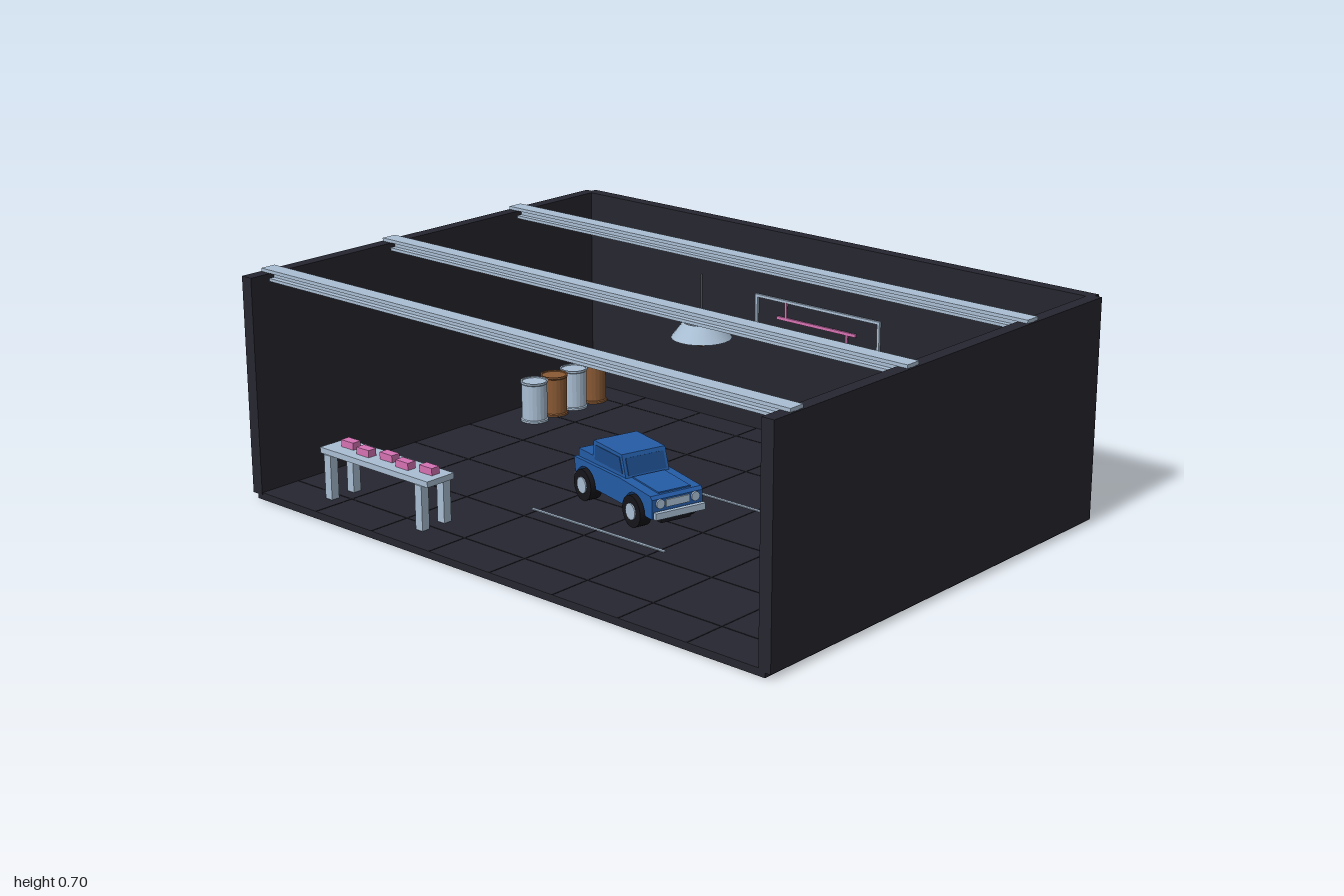
import * as THREE from 'three';

const mat = (name, color, side = THREE.FrontSide) => {
  const m = new THREE.MeshStandardMaterial({ color, side });
  m.name = name;
  return m;
};

export function createModel() {
  const charcoal = mat('charcoal', 0x262630);
  const seamDark = mat('seam dark', 0x1a1a22);
  const steel = mat('pale steel', 0xa9bed3, THREE.DoubleSide);
  const cord = mat('cord grey', 0x59636f);
  const blue = mat('car blue', 0x245ca6);
  const glass = mat('window blue', 0x1c4a88);
  const rubber = mat('rubber', 0x15151a);
  const brown = mat('brown', 0x8a5a34);
  const pink = mat('pink', 0xd673b4);

  const root = new THREE.Group();
  root.name = 'garage';
  const FLOOR = 0.022;

  const add = (parent, name, geo, material, x = 0, y = 0, z = 0) => {
    const m = new THREE.Mesh(geo, material);
    m.name = name;
    m.position.set(x, y, z);
    parent.add(m);
    return m;
  };
  const box = (parent, name, material, w, h, d, x, y, z) =>
    add(parent, name, new THREE.BoxGeometry(w, h, d), material, x, y, z);
  const group = (name, x = 0, y = 0, z = 0) => {
    const g = new THREE.Group();
    g.name = name;
    g.position.set(x, y, z);
    root.add(g);
    return g;
  };

  // Room shell: open at the front and the top
  box(root, 'floor', charcoal, 1.96, FLOOR, 1.46, 0, FLOOR / 2, 0.01);
  box(root, 'backWall', charcoal, 1.955, 0.67, 0.04, 0, 0.35, -0.722);
  for (const s of [-1, 1]) box(root, 'sideWall', charcoal, 0.04, 0.67, 1.465, s * 0.98, 0.35, 0.0095);

  // Floor tile seams
  for (let i = -3; i <= 3; i++) box(root, 'floorSeam', seamDark, 0.005, 0.001, 1.44, i * 0.24, FLOOR + 0.0005, 0.02);
  for (let i = -2; i <= 3; i++) box(root, 'floorSeam', seamDark, 1.92, 0.001, 0.005, 0, FLOOR + 0.0005, i * 0.24 - 0.12);

  // Roof I-beams
  for (const z of [0.648, 0.17, -0.38]) {
    const beam = group('roofBeam', 0, 0, z);
    box(beam, 'topFlange', steel, 1.99, 0.01, 0.05, 0, 0.691, 0);
    box(beam, 'web', steel, 1.99, 0.016, 0.014, 0, 0.678, 0);
    box(beam, 'bottomFlange', steel, 1.99, 0.009, 0.05, 0, 0.666, 0);
  }

  // Hanging lamp
  const lamp = group('hangingLamp', 0, 0, -0.15);
  add(lamp, 'lampCord', new THREE.CylinderGeometry(0.003, 0.003, 0.18, 8), cord, 0, 0.6, 0);
  add(lamp, 'lampShade', new THREE.CylinderGeometry(0.054, 0.09, 0.048, 24, 1, true), steel, 0, 0.522, 0);
  add(lamp, 'lampBulb', new THREE.SphereGeometry(0.03, 16, 12), brown, 0, 0.5, 0);

  // Wall sign: frame with an abstract pink tube
  const sign = group('wallFrame', 0, 0.407, -0.697);
  for (const s of [-1, 1]) {
    box(sign, 'frameRail', steel, 0.49, 0.009, 0.008, 0, s * 0.06, 0);
    box(sign, 'framePost', steel, 0.009, 0.128, 0.008, s * 0.24, 0, 0);
    box(sign, 'tubeEnd', pink, 0.008, 0.055, 0.006, s * 0.12, -s * 0.03, 0.002);
  }
  box(sign, 'tubeBar', pink, 0.31, 0.01, 0.006, 0, 0.003, 0.002);

  // Parking stripes
  for (const z of [-0.12, 0.305]) box(root, 'parkingStripe', steel, 0.52, 0.003, 0.009, 0, FLOOR + 0.0015, z);

  // Workbench with small pink blocks
  const bench = group('workbench', -0.575, 0, 0.588);
  box(bench, 'benchTop', steel, 0.46, 0.018, 0.105, 0, 0.167, 0);
  for (const x of [-0.195, 0.195])
    for (const z of [-0.043, 0.043]) box(bench, 'benchLeg', steel, 0.028, 0.137, 0.028, x, 0.0905, z);
  for (let i = 0; i < 5; i++)
    box(bench, 'benchBlock', pink, 0.052, 0.022, 0.03, (i - 2) * 0.084 + 0.008, 0.187, i % 2 ? 0.008 : -0.007);

  // Row of barrels, turned with rolled rims
  const profile = [[0, 0], [0.045, 0], [0.045, 0.006], [0.042, 0.009], [0.042, 0.125], [0.045, 0.128], [0.045, 0.134], [0.04, 0.134], [0.04, 0.13], [0, 0.13]]
    .map(p => new THREE.Vector2(...p));
  [-0.57, -0.477, -0.384, -0.292].forEach((z, i) => {
    const geo = new THREE.LatheGeometry(profile, 20).toNonIndexed();
    geo.computeVertexNormals();
    add(root, 'barrel', geo, i % 2 ? steel : brown, -0.835, FLOOR, z);
  });

  // Pile of cartons: x, z, width, height, depth, turn
  for (const [x, z, w, h, d, turn] of [
    [0.85, -0.525, 0.11, 0.1, 0.1, 0.22],
    [0.775, -0.445, 0.15, 0.09, 0.13, 0.5],
    [0.865, -0.36, 0.11, 0.102, 0.09, 0.12],
    [0.755, -0.35, 0.08, 0.085, 0.07, 0.4],
    [0.775, -0.525, 0.08, 0.085, 0.07, 0.3],
  ]) box(root, 'carton', brown, w, h, d, x, FLOOR + h / 2, z).rotation.y = turn;

  // Car: nose along its own +x, turned toward the front
  const car = group('car', -0.03, 0, 0.097);
  car.rotation.y = -0.262;
  const axles = [-0.15, 0.117], wheelY = 0.07;
  const extrude = (shape, width) => {
    const g = new THREE.ExtrudeGeometry(shape, { depth: width, bevelEnabled: false, curveSegments: 10 });
    return g.translate(0, 0, -width / 2);
  };
  const side = new THREE.Shape();
  side.moveTo(-0.215, 0.07);
  for (const x of axles) side.absarc(x, wheelY, 0.054, Math.PI, 0, true);
  [[0.208, 0.07], [0.208, 0.128], [0.2, 0.138], [0.04, 0.146], [-0.215, 0.14]].forEach(p => side.lineTo(...p));
  side.closePath();
  add(car, 'carBody', extrude(side, 0.174), blue);
  box(car, 'chassis', rubber, 0.4, 0.05, 0.1, 0, 0.075, 0);
  box(car, 'cargoCover', blue, 0.085, 0.03, 0.15, -0.165, 0.15, 0);
  const cabin = new THREE.Shape([[-0.13, 0.138], [0.055, 0.138], [0.03, 0.212], [-0.122, 0.214]].map(p => new THREE.Vector2(...p)));
  add(car, 'cabin', extrude(cabin, 0.15), blue);
  const pane = new THREE.Shape([[-0.115, 0.156], [0.036, 0.156], [0.02, 0.202], [-0.111, 0.202]].map(p => new THREE.Vector2(...p)));
  for (const s of [-1, 1]) add(car, 'sideWindow', extrude(pane, 0.003), glass, 0, 0, s * 0.0755);
  box(car, 'windscreen', glass, 0.003, 0.052, 0.13, 0.0435, 0.176, 0).rotation.z = 0.326;
  box(car, 'bonnetPanel', blue, 0.135, 0.006, 0.11, 0.125, 0.143, 0).rotation.z = -0.05;
  box(car, 'frontBumper', steel, 0.014, 0.02, 0.17, 0.22, 0.083, 0);
  box(car, 'grille', steel, 0.005, 0.022, 0.08, 0.21, 0.112, 0);
  box(car, 'rearBumper', steel, 0.01, 0.014, 0.16, -0.22, 0.08, 0);

  // Headlights, wheels and hubs on both sides
  const disc = (r, w) => new THREE.CylinderGeometry(r, r, w, 20).rotateX(Math.PI / 2);
  for (const s of [-1, 1]) {
    add(car, 'headlight', disc(0.014, 0.008).rotateY(Math.PI / 2), steel, 0.21, 0.114, s * 0.06);
    for (const x of axles) {
      add(car, 'tyre', disc(0.048, 0.04), rubber, x, wheelY, s * 0.079);
      add(car, 'hub', disc(0.025, 0.006), steel, x, wheelY, s * 0.1);
    }
  }
  return root;
}
